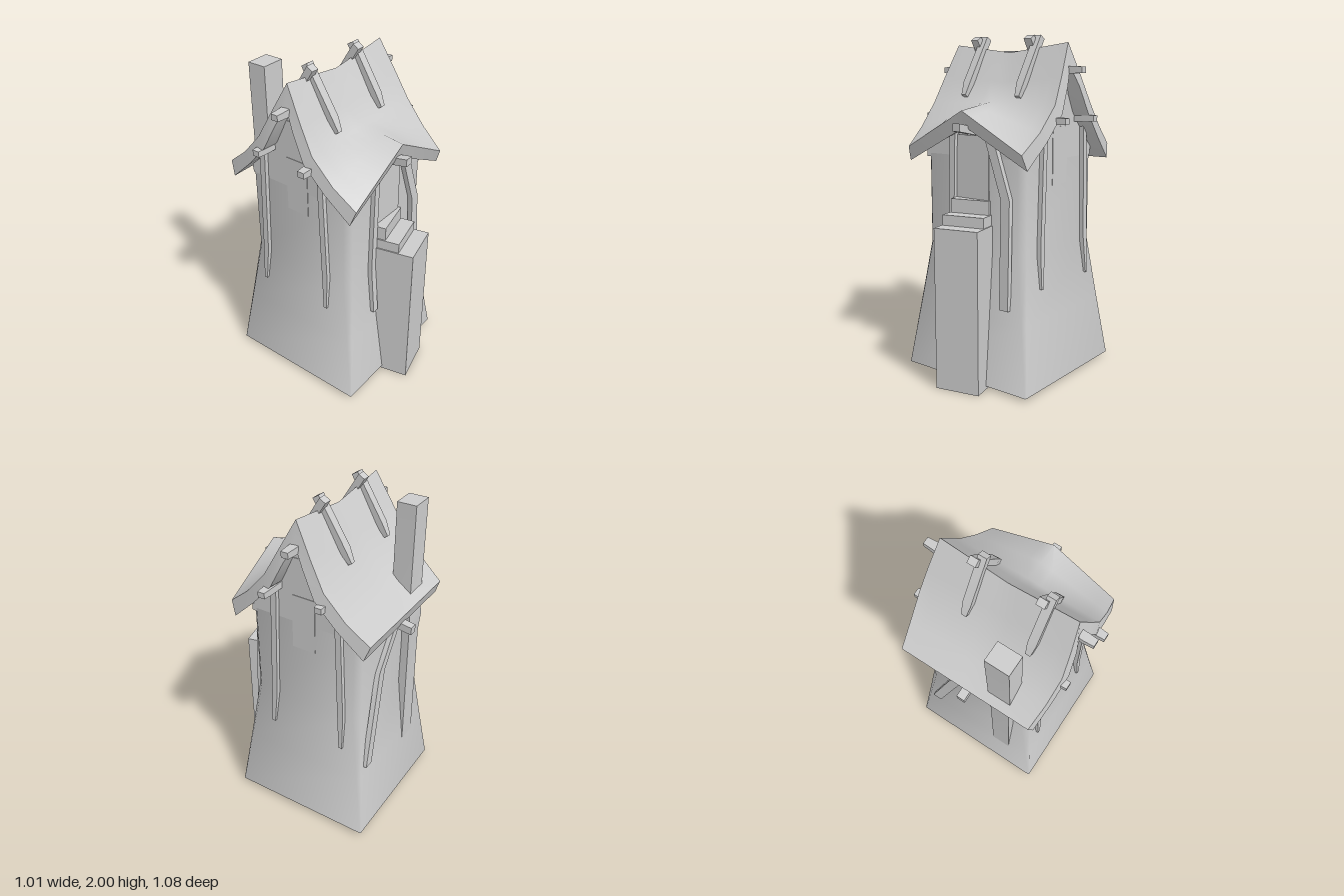
import * as THREE from 'three';
import { toCreasedNormals } from 'three/addons/utils/BufferGeometryUtils.js';

const V = (x, y, z) => new THREE.Vector3(x, y, z);
const ZC = -0.06; // z of the ridge and of the tower's axis
const material = new THREE.MeshStandardMaterial({ color: 0xcccccc, side: THREE.DoubleSide });

function add(parent, name, geometry) {
  const mesh = new THREE.Mesh(geometry, material);
  mesh.name = name;
  parent.add(mesh);
  return mesh;
}

// Skin over closed rings that run counter-clockwise about the travel direction
function loft(rings, caps = true, crease = 0.9) {
  const n = rings[0].length, pos = [], idx = [];
  rings.forEach(r => r.forEach(p => pos.push(p.x, p.y, p.z)));
  for (let i = 0; i < rings.length - 1; i++) {
    for (let j = 0; j < n; j++) {
      const a = i * n + j, b = i * n + (j + 1) % n;
      idx.push(a, b, b + n, a, b + n, a + n);
    }
  }
  if (caps) {
    const e = (rings.length - 1) * n;
    for (let j = 1; j < n - 1; j++) idx.push(0, j + 1, j, e, e + j, e + j + 1);
  }
  const g = new THREE.BufferGeometry();
  g.setAttribute('position', new THREE.Float32BufferAttribute(pos, 3));
  g.setIndex(idx);
  return toCreasedNormals(g, crease);
}

// Four-sided timber along points; a and b are its half extents, scales taper it
function beam(parent, name, pts, a, b, scales = []) {
  const dir = pts[pts.length - 1].clone().sub(pts[0]);
  if (a.clone().cross(b).dot(dir) < 0) [a, b] = [b, a];
  const rings = pts.map((p, i) => [[-1, -1], [1, -1], [1, 1], [-1, 1]].map(([s, t]) => {
    const k = scales[i] ?? 1;
    return p.clone().addScaledVector(a, s * k).addScaledVector(b, t * k);
  }));
  return add(parent, name, loft(rings, true, 0.4));
}

// Square tower ring with cut corners
function towerRing(y, h, c) {
  return [[h, c - h], [h - c, -h], [c - h, -h], [-h, c - h], [-h, h - c], [c - h, h], [h - c, h], [h, h - c]]
    .map(([x, z]) => V(x, y, ZC + z));
}

// Roof profile: distance from the ridge and height, upper and lower faces
const TOP = [[0, 1.95], [0.10, 1.765], [0.185, 1.61], [0.31, 1.47], [0.445, 1.36]];
const LOW = [[0, 1.82], [0.06, 1.71], [0.135, 1.56], [0.26, 1.42], [0.415, 1.275]];
const HALF = [0.40, 0.425, 0.44, 0.43, 0.41]; // half length of the roof
const DORMER = [0, 0, 1.62, 1.60, 1.58];      // raised middle of the front eave

function roofPoint(s, i, side, low) {
  const k = Math.abs(s);
  const [d, h] = (low ? LOW : TOP)[i];
  let y = h - 0.05 * (1 - k) * (1 - i / 4);
  if (side > 0 && i >= 2) {
    const peak = DORMER[i] - (low ? 0.09 : 0);
    y += (peak - y) * (1 - k);
  }
  return V(s * (HALF[i] + (low ? 0.015 : 0)), y, ZC + side * d);
}

function roofGeometry() {
  const rings = [];
  for (let c = 0; c <= 12; c++) {
    const s = c / 6 - 1, ring = [];
    for (let i = 4; i >= 0; i--) ring.push(roofPoint(s, i, 1, false));
    for (let i = 1; i <= 4; i++) ring.push(roofPoint(s, i, -1, false));
    for (let i = 4; i >= 0; i--) ring.push(roofPoint(s, i, -1, true));
    for (let i = 1; i <= 4; i++) ring.push(roofPoint(s, i, 1, true));
    rings.push(ring.reverse());
  }
  // End faces as strips between the upper and lower profile
  const g = loft(rings, false), pos = Array.from(g.attributes.position.array);
  const n = 18;
  for (const [r, flip] of [[rings[0], true], [rings[12], false]]) {
    for (let j = 0; j < 8; j++) {
      const q = [r[j], r[j + 1], r[n - 2 - j], r[n - 1 - j]];
      if (flip) q.reverse();
      for (const k of [0, 1, 2, 0, 2, 3]) pos.push(q[k].x, q[k].y, q[k].z);
    }
  }
  const out = new THREE.BufferGeometry();
  out.setAttribute('position', new THREE.Float32BufferAttribute(pos, 3));
  return toCreasedNormals(out, 0.9);
}

function prism(points, depth) {
  const shape = new THREE.Shape(points.map(([x, y]) => new THREE.Vector2(x, y)));
  return new THREE.ExtrudeGeometry(shape, { depth, bevelEnabled: false });
}

export function createModel() {
  const model = new THREE.Group();
  model.name = 'towerHouse';

  // Flared tower, open underneath
  add(model, 'towerWalls', loft([
    towerRing(0.02, 0.443, 0.006), towerRing(0.4, 0.397, 0.02),
    towerRing(0.78, 0.353, 0.035), towerRing(1.32, 0.353, 0.035)].map(r => r.reverse()).map(r => r.reverse()), false));

  // Gable walls under the roof
  const half = [[0.33, 1.30], [0.34, 1.38], [0.26, 1.45], [0.135, 1.59]];
  const mirror = half.map(([d, y]) => [-d, y]).reverse();
  const gable = add(model, 'sideGables', prism([...half, [0, 1.86], ...mirror], 0.706));
  gable.rotation.y = Math.PI / 2;
  gable.position.set(-0.353, 0, ZC);
  add(model, 'frontGable', prism([[-0.35, 1.3], [0.35, 1.3], [0.35, 1.34], [0, 1.52], [-0.35, 1.34]], 0.35))
    .position.z = ZC;

  add(model, 'roof', roofGeometry());

  // Windows on both gables, and the door
  for (const side of [1, -1]) {
    for (const [name, y, h] of [['atticWindow', 1.63, 0.16], ['sideWindow', 1.32, 0.33]]) {
      add(model, name, new THREE.BoxGeometry(0.006, h, 0.145)).position.set(side * 0.353, y, ZC);
    }
  }
  add(model, 'door', new THREE.BoxGeometry(0.24, 0.42, 0.012)).position.set(0, 1.23, 0.292);

  // Entrance block with steps, turned a little
  const stairs = new THREE.Group();
  stairs.name = 'entranceStairs';
  stairs.position.set(0.02, 0, 0.3625);
  stairs.rotation.y = 0.23;
  model.add(stairs);
  for (const [w, y0, y1, front] of [[0.268, 0, 0.94, 0.15], [0.255, 0.94, 1.0, 0.06], [0.24, 1.0, 1.08, -0.025]]) {
    const depth = front + 0.15;
    add(stairs, 'step', new THREE.BoxGeometry(w, y1 - y0, depth)).position.set(0, (y0 + y1) / 2, front - depth / 2);
  }

  // Chimney running down the back wall
  const flue = [[0.31, -0.25, -0.13, -0.465, -0.40], [1.1, -0.255, -0.135, -0.458, -0.34],
    [1.2, -0.265, -0.12, -0.465, -0.33], [1.3, -0.265, -0.125, -0.455, -0.34], [1.92, -0.265, -0.125, -0.455, -0.34]];
  add(model, 'chimney', loft(flue.map(([y, x0, x1, z0, z1]) =>
    [V(x0, y, z1), V(x1, y, z1), V(x1, y, z0), V(x0, y, z0)])));

  // Purlins poking out at both gable ends
  for (const [y, z, l] of [[1.80, -0.06, 0.505], [1.525, 0.1, 0.505], [1.525, -0.235, 0.48]]) {
    beam(model, 'purlin', [V(-l, y, z), V(-l + 0.06, y, z), V(l - 0.06, y, z), V(l, y, z)],
      V(0, 0.02, 0), V(0, 0, 0.025), [0.85, 1, 1, 0.85]);
  }
  // Beam ends below the front and back eaves
  beam(model, 'frontEaveBeam', [V(0, 1.45, 0.22), V(0, 1.49, 0.43)], V(0.025, 0, 0), V(0, 0.022, 0));
  beam(model, 'backEaveBeam', [V(0, 1.29, -0.36), V(0, 1.26, -0.545)], V(0.025, 0, 0), V(0, 0.022, 0));

  // Crossed planks over the ridge
  for (const x of [0, 0.39]) {
    for (const [dx, s] of [[-0.207, 1], [-0.235, -1]]) {
      beam(model, 'ridgePlank', [V(x + dx, 1.985, ZC - s * 0.03), V(x + dx, 1.72, ZC + s * 0.135),
        V(x + dx, 1.65, ZC + s * 0.175)], V(0.025, 0, 0), V(0, 0.011, s * 0.018), [1, 1, 0.6]);
    }
  }

  // Struts on the side walls
  for (const side of [1, -1]) {
    for (const [z0, z1] of [[0.115, 0.15], [-0.285, -0.32]]) {
      beam(model, 'sideStrut', [V(side * 0.362, 1.53, z0), V(side * 0.362, 0.8, (z0 + 3 * z1) / 4),
        V(side * 0.38, 0.58, z1)], V(0.018, 0, 0), V(0, 0, 0.018), [1, 1, 0.6]);
    }
  }
  // Struts on the front and back walls
  const thick = V(0, 0, 0.015);
  beam(model, 'frontStrut', [V(0.115, 1.5, 0.305), V(0.255, 1.1, 0.31), V(0.262, 0.48, 0.335)],
    V(0.03, 0, 0), thick);
  beam(model, 'frontStrut', [V(-0.125, 1.5, 0.305), V(-0.145, 0.8, 0.305), V(-0.155, 0.5, 0.335)],
    V(0.02, 0, 0), thick);
  beam(model, 'backStrut', [V(-0.04, 1.28, -0.425), V(0.14, 1.02, -0.425), V(0.31, 0.46, -0.455)],
    V(0.03, 0, 0), thick);
  return model;
}
